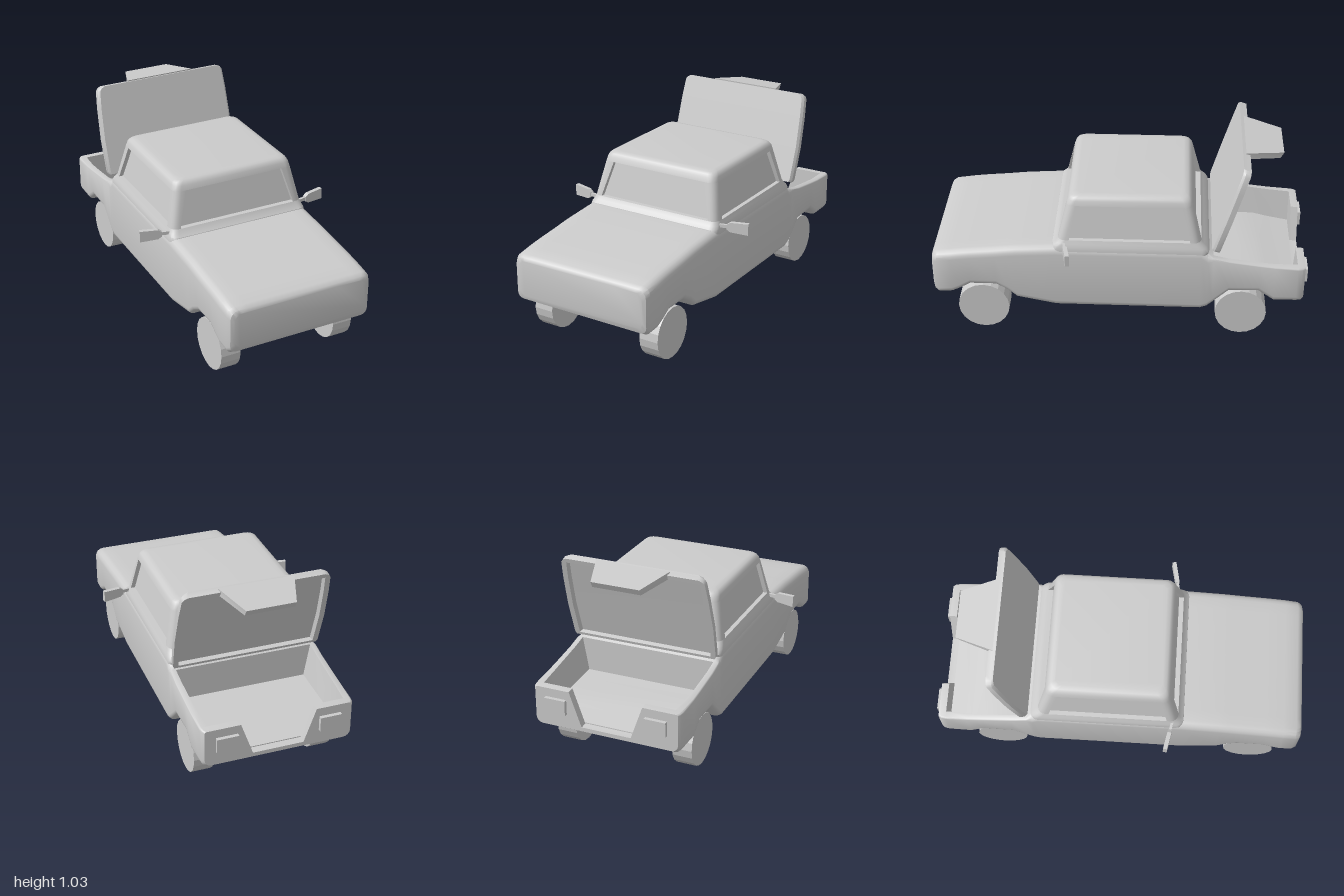
import * as THREE from 'three';
import { toCreasedNormals } from 'three/addons/utils/BufferGeometryUtils.js';

const V = (x, y, z) => new THREE.Vector3(x, y, z);
const material = new THREE.MeshStandardMaterial({ color: 0xcccccc });

function add(parent, name, geometry) {
  const mesh = new THREE.Mesh(geometry, material);
  mesh.name = name;
  parent.add(mesh);
  return mesh;
}

function areaNormal(ring) {
  const n = V(0, 0, 0);
  ring.forEach((p, i) => n.add(p.clone().cross(ring[(i + 1) % ring.length])));
  return n.normalize();
}

// Skin a row of closed cross-sections and cap both ends
function loft(rings, crease = 0.6) {
  const sweep = rings[rings.length - 1][0].clone().sub(rings[0][0]);
  if (areaNormal(rings[0]).dot(sweep) < 0) rings = rings.map((r) => [...r].reverse());
  const n = rings[0].length, index = [];
  for (let k = 0; k < rings.length - 1; k++) {
    for (let i = 0; i < n; i++) {
      const j = (i + 1) % n, a = k * n + i, b = k * n + j;
      index.push(a, b, b + n, a, b + n, a + n);
    }
  }
  [0, rings.length - 1].forEach((k) => {
    const normal = areaNormal(rings[k]);
    const u = V(1, 0, 0), v = normal.clone().cross(u);
    const flat = rings[k].map((p) => new THREE.Vector2(p.dot(u), p.dot(v)));
    THREE.ShapeUtils.triangulateShape(flat, []).forEach(([a, b, c]) => {
      const o = k * n;
      if (k === 0) index.push(o + a, o + c, o + b);
      else index.push(o + a, o + b, o + c);
    });
  });
  const g = new THREE.BufferGeometry().setFromPoints(rings.flat());
  g.setIndex(index);
  return toCreasedNormals(g, crease);
}

// Complete a half outline [x, y] by mirroring it across x = 0
const mirrored = (half) => [...half, ...[...half].reverse().map(([x, y]) => [-x, y])];

function arc(cx, cy, r, from, steps = 4) {
  return Array.from({ length: steps + 1 }, (_, i) => {
    const a = from + (i / steps) * Math.PI / 2;
    return [cx + r * Math.cos(a), cy + r * Math.sin(a)];
  });
}

// Body section: rounded sides, and a top that may sink into the luggage bay
function bodyRing([z, yb, yt, w, rt = 0.045, it = 0.3, ib = 0.2, floor = yt]) {
  const rb = 0.035;
  return mirrored([
    ...arc(w - rb, yb + rb, rb, -Math.PI / 2), ...arc(w - rt, yt - rt, rt, 0),
    [it, yt], [ib, floor],
  ]).map(([x, y]) => V(x, y, z));
}

// Horizontal rounded rectangle for the cabin
function cabinRing([y, x, zf, zb, r = 0.04]) {
  return [
    ...arc(x - r, zf - r, r, 0), ...arc(-x + r, zf - r, r, Math.PI / 2),
    ...arc(-x + r, zb + r, r, Math.PI), ...arc(x - r, zb + r, r, Math.PI * 1.5),
  ].map(([px, pz]) => V(px, y, pz));
}

function buildBody(car) {
  const sections = [
    [1.0, 0.265, 0.46, 0.375], [0.992, 0.242, 0.475, 0.392], [0.97, 0.23, 0.487, 0.403],
    [0.9, 0.236, 0.497, 0.405], [0.86, 0.255, 0.503, 0.405], [0.8, 0.29, 0.51, 0.405],
    [0.66, 0.29, 0.523, 0.405], [0.6, 0.255, 0.53, 0.405], [0.55, 0.21, 0.535, 0.405],
    [0.34, 0.167, 0.548, 0.405], [-0.43, 0.165, 0.548, 0.405], [-0.465, 0.178, 0.52, 0.405],
    [-0.495, 0.205, 0.503, 0.405, 0.012, 0.372, 0.34],
    [-0.495, 0.205, 0.503, 0.405, 0.012, 0.372, 0.34, 0.32],
    [-0.58, 0.285, 0.485, 0.405, 0.012, 0.372, 0.34, 0.315],
    [-0.74, 0.29, 0.464, 0.405, 0.012, 0.37, 0.34, 0.31],
    [-0.82, 0.232, 0.455, 0.405, 0.012, 0.368, 0.34, 0.29],
    [-0.94, 0.23, 0.448, 0.402, 0.012, 0.36, 0.335, 0.27],
    [-0.94, 0.23, 0.448, 0.402, 0.012, 0.2, 0.135, 0.265],
    [-0.965, 0.23, 0.447, 0.398, 0.012, 0.2, 0.135, 0.262],
    [-0.98, 0.24, 0.445, 0.388, 0.012, 0.2, 0.135, 0.262],
  ];
  add(car, 'body', loft(sections.map(bodyRing)));
}

function buildCabin(car) {
  const cabin = new THREE.Group();
  cabin.name = 'cabin';
  car.add(cabin);
  add(cabin, 'windowSill', loft([
    [0.49, 0.403, 0.34, -0.46], [0.53, 0.4, 0.36, -0.472], [0.55, 0.396, 0.355, -0.46],
    [0.565, 0.391, 0.337, -0.443], [0.585, 0.385, 0.325, -0.428],
  ].map(cabinRing)));
  add(cabin, 'roof', loft([
    [0.775, 0.347, 0.279, -0.381], [0.8, 0.341, 0.271, -0.374], [0.815, 0.333, 0.262, -0.364],
    [0.824, 0.321, 0.25, -0.352], [0.828, 0.3, 0.23, -0.332],
  ].map(cabinRing)));

  // Corner pillars: outer corner rounded, inner edges frame the windows
  const pillar = (s, y, xo, xi, zo, zi) => {
    const d = Math.sign(zo - zi), r = 0.04;
    const corner = arc(xo - r, 0, r, 0).map(([x, z]) => [x, zo - d * r + d * z]);
    return [...corner, [xi, zo], [xi, zi], [xo, zi]].map(([x, z]) => V(s * x, y, z));
  };
  for (const s of [1, -1]) {
    add(cabin, 'frontPillar', loft([
      pillar(s, 0.585, 0.385, 0.335, 0.325, 0.265), pillar(s, 0.775, 0.347, 0.282, 0.279, 0.228),
    ]));
    add(cabin, 'rearPillar', loft([
      pillar(s, 0.585, 0.385, 0.335, -0.428, -0.37), pillar(s, 0.775, 0.347, 0.282, -0.381, -0.315),
    ]));
  }
  // Window panes set slightly inside the frame
  add(cabin, 'windows', loft([[0.58, 0.363, 0.3, -0.402], [0.78, 0.322, 0.254, -0.356]]
    .map(([y, x, zf, zb]) => [V(x, y, zf), V(-x, y, zf), V(-x, y, zb), V(x, y, zb)])));
}

function buildTrunkLid(car) {
  const lid = new THREE.Group();
  lid.name = 'trunkLid';
  car.add(lid);
  const thick = 0.04;
  // Each section: position along the lid, half width, inner face depth
  const section = ([t, w, inner]) => mirrored([
    [w - 0.012, 0], [w, 0.012], [w, thick], [w - 0.028, thick], [w - 0.034, inner],
  ]).map(([x, d]) => V(x, 0.545 + 0.48 * t - 0.285 * d, -0.485 - 0.143 * t - 0.958 * d));
  add(lid, 'lidPanel', loft([
    [0, 0.39, thick], [0.03, 0.398, thick], [0.03, 0.398, 0.015], [0.4, 0.404, 0.014],
    [0.75, 0.398, 0.014], [0.95, 0.39, 0.015], [0.95, 0.39, thick], [0.98, 0.38, thick],
    [1, 0.36, thick],
  ].map(section)));
  // Tail flap that fills the notch when the lid is closed
  add(lid, 'lidFlap', loft([
    [0.2, 1.026, -0.645, 0.992, -0.65], [0.13, 0.995, -0.845, 0.962, -0.827],
  ].map(([x, y1, z1, y2, z2]) => [V(x, y1, z1), V(-x, y1, z1), V(-x, y2, z2), V(x, y2, z2)])));
}

function buildMirrors(car) {
  const outline = [[0.035, -0.014], [0.055, -0.027], [0.152, -0.032], [0.152, 0.03],
    [0.055, 0.026], [0.035, 0.012]];
  const head = new THREE.ExtrudeGeometry(
    new THREE.Shape(outline.map(([x, y]) => new THREE.Vector2(x, y))),
    { depth: 0.022, bevelEnabled: false }).translate(0, 0, -0.011);
  for (const s of [1, -1]) {
    const mirror = new THREE.Group();
    mirror.name = s > 0 ? 'leftMirror' : 'rightMirror';
    mirror.position.set(s * 0.393, 0.563, 0.293);
    mirror.rotation.y = s > 0 ? 0.2 : Math.PI - 0.2;
    add(mirror, 'mirrorHead', head);
    add(mirror, 'mirrorStalk', new THREE.BoxGeometry(0.07, 0.018, 0.014)).position.x = 0.008;
    car.add(mirror);
  }
}

export function createModel() {
  const car = new THREE.Group();
  car.name = 'car';
  buildBody(car);
  buildCabin(car);
  buildTrunkLid(car);
  buildMirrors(car);

  // Wheels and tail lights
  const wheel = toCreasedNormals(
    new THREE.CylinderGeometry(0.138, 0.138, 0.108, 20).rotateZ(Math.PI / 2), 0.1);
  for (const s of [1, -1]) {
    add(car, 'frontWheel', wheel).position.set(s * 0.325, 0.138, 0.737);
    add(car, 'rearWheel', wheel).position.set(s * 0.325, 0.138, -0.652);
    add(car, 'tailLight', new THREE.BoxGeometry(0.115, 0.08, 0.03)).position.set(s * 0.273, 0.358, -0.985);
  }
  return car;
}
